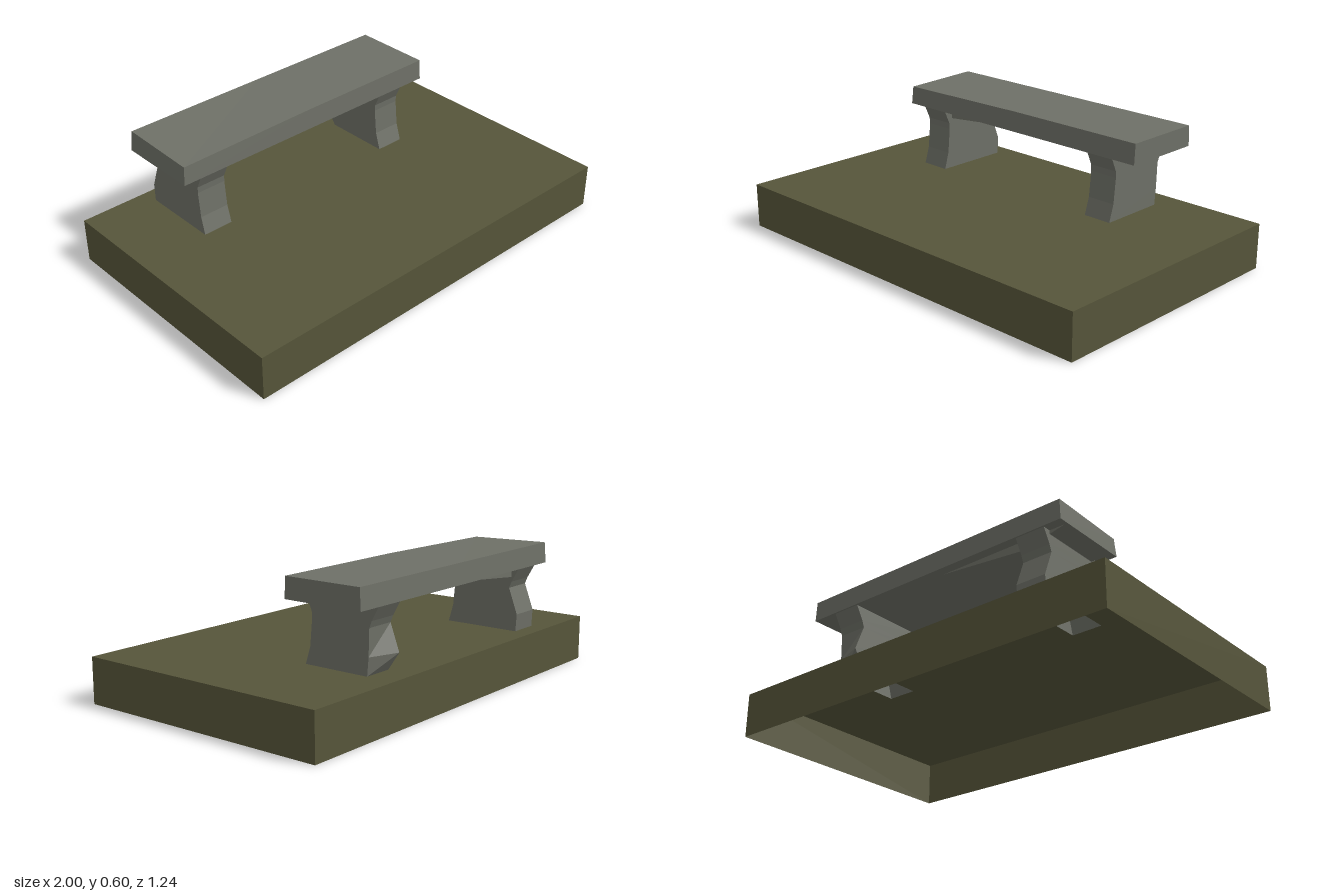
import * as THREE from 'three';

const stone = new THREE.MeshStandardMaterial({ color: 0x6e7067, side: THREE.DoubleSide, flatShading: true });
stone.name = 'grey stone';
const ground = new THREE.MeshStandardMaterial({ color: 0x56553a, side: THREE.DoubleSide, flatShading: true });
ground.name = 'olive ground';

// Open-ended skin through rings of [x, y, z] corners, counter-clockwise from above
function loft(rings) {
  const pos = [];
  for (let r = 0; r < rings.length - 1; r++) {
    const n = rings[r].length;
    for (let i = 0; i < n; i++) {
      const j = (i + 1) % n;
      const a = rings[r][i], b = rings[r][j], c = rings[r + 1][j], d = rings[r + 1][i];
      pos.push(...a, ...b, ...c, ...a, ...c, ...d);
    }
  }
  const g = new THREE.BufferGeometry();
  g.setAttribute('position', new THREE.Float32BufferAttribute(pos, 3));
  g.computeVertexNormals();
  return g;
}

function ring(y, x0, x1, front, backRight, backLeft = backRight) {
  return [[x0, y, front], [x1, y, front], [x1, y, backRight], [x0, y, backLeft]];
}

function add(parent, name, geometry, material) {
  const mesh = new THREE.Mesh(geometry, material);
  mesh.name = name;
  parent.add(mesh);
  return mesh;
}

export function createModel() {
  const model = new THREE.Group();
  model.name = 'benchOnPlinth';
  const topY = 0.21;

  // Legs: waisted slabs, each with its own rough-hewn back edge
  const legs = [
    { name: 'rightLeg', rings: [
      ring(topY, -0.67, -0.525, -0.17, -0.54),
      ring(0.29, -0.668, -0.525, -0.193, -0.545),
      ring(0.41, -0.668, -0.525, -0.204, -0.5),
      ring(0.44, -0.668, -0.525, -0.202, -0.512),
      ring(0.507, -0.668, -0.525, -0.172, -0.55),
    ] },
    { name: 'leftLeg', rings: [
      ring(topY, 0.385, 0.525, -0.168, -0.49),
      ring(0.29, 0.385, 0.525, -0.193, -0.497, -0.545),
      ring(0.41, 0.385, 0.525, -0.204, -0.5),
      ring(0.44, 0.385, 0.525, -0.202, -0.512),
      ring(0.507, 0.385, 0.525, -0.172, -0.55),
    ] },
  ];
  for (const leg of legs) add(model, leg.name, loft(leg.rings), stone);

  // Plinth: four walls, open underneath, with a top cut out around the legs
  const plinth = new THREE.Group();
  plinth.name = 'plinth';
  model.add(plinth);
  add(plinth, 'plinthWalls', loft([ring(0, -1, 1, 0.62, -0.62), ring(topY, -1, 1, 0.62, -0.62)]), ground);
  const points = (corners) => corners.map(([x, , z]) => new THREE.Vector2(x, -z));
  const shape = new THREE.Shape(points(ring(0, -1, 1, 0.62, -0.62)));
  for (const leg of legs) shape.holes.push(new THREE.Path(points(leg.rings[0]).reverse()));
  const top = new THREE.ShapeGeometry(shape);
  top.rotateX(-Math.PI / 2);
  top.translate(0, topY, 0);
  add(plinth, 'plinthTop', top, ground);

  // Seat slab: slightly wider at the bottom, with one worn front corner
  const slab = new THREE.BoxGeometry(1.4, 0.096, 0.38, 2, 1, 1);
  const p = slab.attributes.position;
  for (let i = 0; i < p.count; i++) {
    const x = p.getX(i), y = p.getY(i), z = p.getZ(i);
    if (y < 0) {
      p.setZ(i, z * 1.025);
      if (x < -0.5) p.setX(i, x - 0.007);
    } else if (x < -0.5 && z > 0) p.setY(i, y - 0.01);
  }
  slab.computeVertexNormals();
  add(model, 'seat', slab, stone).position.set(-0.05, 0.552, -0.361);

  // Sagging underside at the right end of the seat
  const sag = new THREE.Shape([[-0.755, 0.506], [-0.67, 0.488], [-0.525, 0.462], [-0.08, 0.506]]
    .map(([x, y]) => new THREE.Vector2(x, y)));
  const sagGeometry = new THREE.ExtrudeGeometry(sag, { depth: 0.29, bevelEnabled: false });
  sagGeometry.translate(0, 0, -0.51);
  add(model, 'seatUnderside', sagGeometry, stone);

  return model;
}
